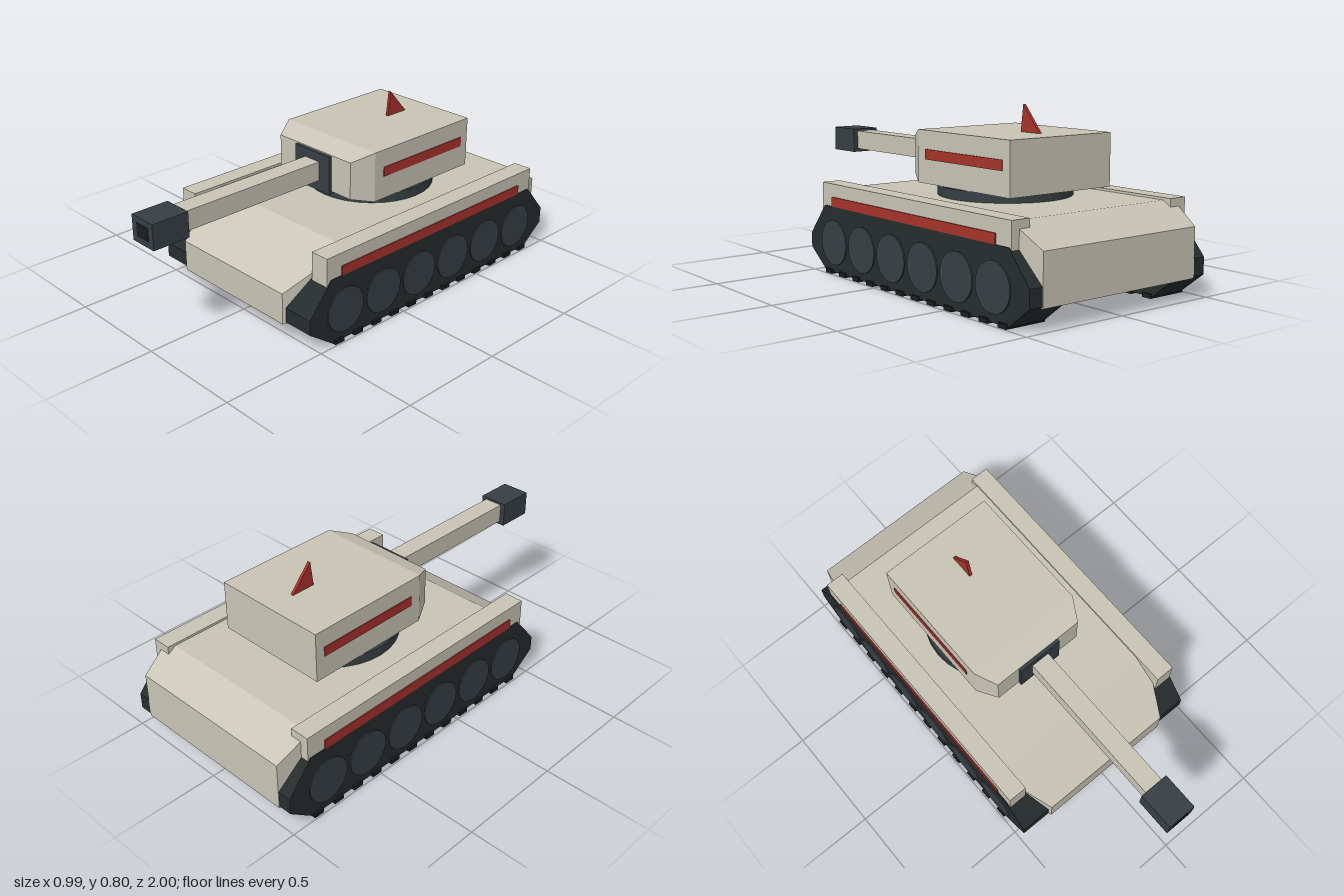
import * as THREE from 'three';

const paint = (color, side = THREE.FrontSide) =>
  new THREE.MeshStandardMaterial({ color, side, flatShading: true });

export function createModel() {
  const tank = new THREE.Group();
  tank.name = 'tank';
  const cream = paint(0xc8c4b6), red = paint(0xa8322b), steel = paint(0x363f44);
  const rubber = paint(0x262c2c), black = paint(0x1a1d1e);

  const add = (name, geometry, material, parent = tank) => {
    const mesh = new THREE.Mesh(geometry, material);
    mesh.name = name;
    parent.add(mesh);
    return mesh;
  };
  // Box given by its lower and upper limits on each axis
  const box = (name, material, [x0, x1], [y0, y1], [z0, z1], parent) => {
    const g = new THREE.BoxGeometry(x1 - x0, y1 - y0, z1 - z0);
    g.translate((x0 + x1) / 2, (y0 + y1) / 2, (z0 + z1) / 2);
    return add(name, g, material, parent);
  };
  // Closed body through rectangular sections [z, half width, bottom, top], back to front
  const loft = (sections) => {
    const pos = [], idx = [];
    for (const [z, w, y0, y1] of sections) pos.push(-w, y0, z, w, y0, z, w, y1, z, -w, y1, z);
    const last = (sections.length - 1) * 4;
    for (let s = 0; s < last; s += 4) {
      for (let i = 0; i < 4; i++) {
        const a = s + i, b = s + (i + 1) % 4;
        idx.push(a, b, b + 4, a, b + 4, a + 4);
      }
    }
    idx.push(0, 2, 1, 0, 3, 2, last, last + 1, last + 2, last, last + 2, last + 3);
    const g = new THREE.BufferGeometry();
    g.setAttribute('position', new THREE.Float32BufferAttribute(pos, 3));
    g.setIndex(idx);
    const flat = g.toNonIndexed();
    flat.computeVertexNormals();
    return flat;
  };
  // Side profile of [z, y] points extruded across x from x0 to x1
  const sidePlate = (points, x0, x1) => {
    const shape = new THREE.Shape(points.map(([z, y]) => new THREE.Vector2(-z, y)));
    const g = new THREE.ExtrudeGeometry(shape, { depth: x1 - x0, bevelEnabled: false });
    return g.rotateY(Math.PI / 2).translate(x0, 0, 0);
  };

  // Hull with sloped nose and tail
  add('hull', loft([
    [-1, 0.42, 0.092, 0.31], [-0.85, 0.45, 0.092, 0.405],
    [0.30, 0.45, 0.092, 0.405], [0.56, 0.33, 0.092, 0.237],
  ]), cream);

  // Running gear, one set per side
  const trackProfile = [
    [0.42, 0.008], [0.547, 0.1], [0.547, 0.168], [0.425, 0.312],
    [-0.88, 0.312], [-0.998, 0.175], [-0.998, 0.1], [-0.88, 0.008],
  ];
  for (const side of [-1, 1]) {
    const gear = new THREE.Group();
    gear.name = side > 0 ? 'leftRunningGear' : 'rightRunningGear';
    tank.add(gear);
    const span = (a, b) => side > 0 ? [a, b] : [-b, -a];

    add('track', sidePlate(trackProfile, ...span(0.302, 0.484)), rubber, gear);
    for (let i = 0; i < 12; i++) {
      const z = 0.385 - i * 0.1125;
      box('trackPad', black, span(0.297, 0.494), [0, 0.02], [z - 0.025, z + 0.025], gear);
    }
    for (let i = 0; i < 6; i++) {
      const wheel = new THREE.CylinderGeometry(0.104, 0.104, 0.05, 24).rotateZ(Math.PI / 2);
      add('roadWheel', wheel, steel, gear).position.set(side * 0.465, 0.147, 0.345 - i * 0.227);
    }
    box('fender', cream, span(0.39, 0.48), [0.282, 0.416], [-0.89, 0.448], gear);
    box('fenderStripe', red, span(0.47, 0.4855), [0.312, 0.356], [-0.8, 0.365], gear);
  }

  // Turret on its ring
  const turret = new THREE.Group();
  turret.name = 'turret';
  tank.add(turret);
  const ring = new THREE.CylinderGeometry(0.296, 0.296, 0.05, 32);
  add('turretRing', ring, steel, turret).position.set(0, 0.424, -0.287);
  add('turretBody', loft([
    [-0.645, 0.28, 0.449, 0.682], [-0.03, 0.28, 0.449, 0.682], [0.068, 0.227, 0.474, 0.647],
  ]), cream, turret);
  for (const x of [-0.275, 0.275]) {
    box('turretStripe', red, [x - 0.009, x + 0.009], [0.555, 0.6], [-0.6, -0.085], turret);
  }
  add('fin', sidePlate([[-0.395, 0.68], [-0.41, 0.8], [-0.515, 0.68]], -0.007, 0.007),
    paint(0xa8322b, THREE.DoubleSide), turret);

  // Gun
  box('mantlet', steel, [-0.11, 0.11], [0.462, 0.642], [0.05, 0.083], turret);
  box('barrel', cream, [-0.045, 0.045], [0.511, 0.601], [0.07, 0.83], turret);
  box('muzzle', steel, [-0.069, 0.069], [0.495, 0.611], [0.822, 0.998], turret);
  box('bore', black, [-0.038, 0.038], [0.523, 0.584], [0.95, 1], turret);

  return tank;
}
